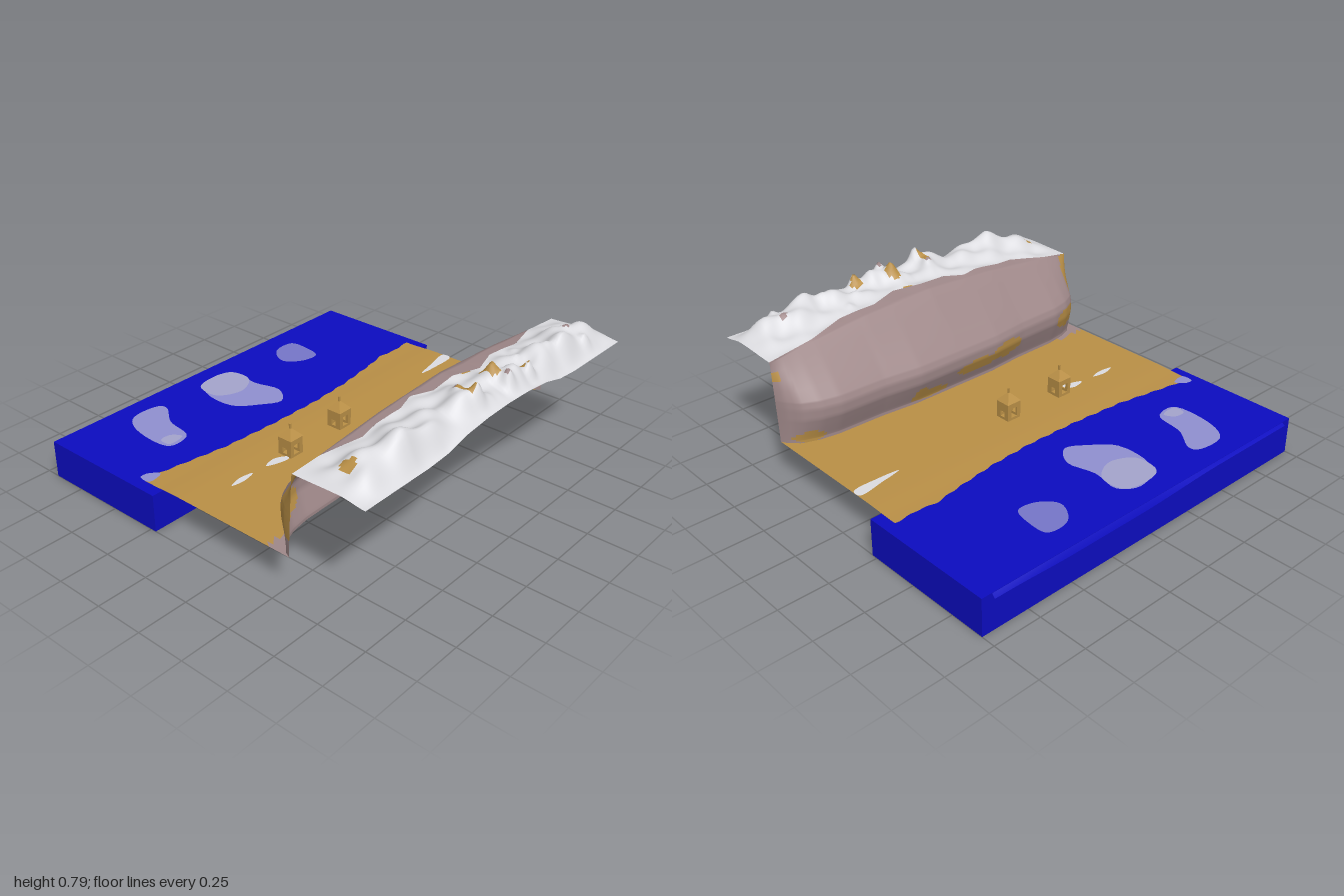
import * as THREE from 'three';

const flat = (name, color) => {
  const m = new THREE.MeshStandardMaterial({ color, side: THREE.DoubleSide });
  m.name = name;
  return m;
};

// piecewise-linear lookup in a list of [key, value]
function lookup(table, k) {
  if (k <= table[0][0]) return table[0][1];
  for (let i = 1; i < table.length; i++) {
    const [a, va] = table[i - 1], [b, vb] = table[i];
    if (k <= b) return va + (vb - va) * (k - a) / (b - a);
  }
  return table[table.length - 1][1];
}
const lerp = THREE.MathUtils.lerp;
const smooth = THREE.MathUtils.smoothstep;
const HALF = 0.945;

// curved sheet from a rule; each cell takes the material chosen by pick(x, y, z)
function sheet(name, nu, nv, rule, mats, pick = () => 0) {
  const pos = [], cells = mats.map(() => []);
  for (let j = 0; j <= nv; j++)
    for (let i = 0; i <= nu; i++) pos.push(...rule(lerp(-HALF, HALF, i / nu), j / nv));
  for (let j = 0; j < nv; j++)
    for (let i = 0; i < nu; i++) {
      const a = j * (nu + 1) + i, b = a + nu + 1;
      const mid = [0, 1, 2].map(k => (pos[a * 3 + k] + pos[(b + 1) * 3 + k]) / 2);
      cells[pick(...mid)].push(a, b, a + 1, b, b + 1, a + 1);
    }
  const geo = new THREE.BufferGeometry();
  geo.setAttribute('position', new THREE.Float32BufferAttribute(pos, 3));
  geo.setIndex(cells.flat());
  let start = 0;
  cells.forEach((c, k) => { geo.addGroup(start, c.length, k); start += c.length; });
  geo.computeVertexNormals();
  const mesh = new THREE.Mesh(geo, mats);
  mesh.name = name;
  return mesh;
}

// flat blob lying on a surface, outlined by [x, z] points
function patch(name, points, y, mat) {
  const curve = new THREE.CatmullRomCurve3(points.map(([x, z]) => new THREE.Vector3(x, -z, 0)), true);
  const shape = new THREE.Shape(curve.getPoints(36).map(p => new THREE.Vector2(p.x, p.y)));
  const mesh = new THREE.Mesh(new THREE.ShapeGeometry(shape).rotateX(-Math.PI / 2), mat);
  mesh.position.y = y;
  mesh.name = name;
  return mesh;
}

// ellipse test for coloured spots: [centre a, centre b, radius a, radius b]
const inSpots = (spots, a, b) => spots.some(([p, q, r, s]) => ((a - p) / r) ** 2 + ((b - q) / s) ** 2 < 1);

// plan and height rules shared by the terrain sheets
const SHORE = [[-0.945, -0.35], [-0.85, -0.335], [-0.5, -0.275], [-0.2, -0.255], [0.1, -0.25], [0.35, -0.265],
  [0.6, -0.3], [0.73, -0.325], [0.8, -0.31], [0.945, -0.32]];
const BEND = [[0, 0], [0.25, 0], [0.45, 0.12], [0.7, 0.16], [0.8, 0.27], [0.88, 0.47], [0.93, 0.8], [0.945, 1]];
const CREST = [[0, 0.69], [0.4, 0.67], [0.7, 0.64], [0.945, 0.61]];
const SNOWLINE = [[-0.945, 0.575], [-0.8, 0.585], [-0.6, 0.645], [-0.5, 0.63], [-0.35, 0.64], [-0.25, 0.61], [-0.15, 0.66],
  [0, 0.65], [0.15, 0.69], [0.3, 0.64], [0.5, 0.65], [0.7, 0.59], [0.945, 0.575]];
const RIDGE = [[-0.945, 0.615], [-0.85, 0.67], [-0.75, 0.7], [-0.6, 0.74], [-0.45, 0.72], [-0.3, 0.7], [-0.2, 0.73],
  [-0.13, 0.75], [-0.03, 0.69], [0.03, 0.7], [0.08, 0.75], [0.17, 0.73], [0.22, 0.69], [0.35, 0.705],
  [0.43, 0.72], [0.5, 0.71], [0.56, 0.74], [0.65, 0.72], [0.77, 0.7], [0.85, 0.68], [0.945, 0.62]];
const RIM = [[0, 0.66], [0.15, 0.655], [0.3, 0.64], [0.42, 0.61], [0.55, 0.6], [0.945, 0.6]];
// cliff profile: [middle z, end z, height]
const PROFILE = [[0.4, 0.55, 0.2], [0.4, 0.55, 0.217], [0.37, 0.553, 0.28], [0.347, 0.556, 0.33],
  [0.343, 0.559, 0.385], [0.36, 0.561, 0.425], [0.58, 0.573, 0.68]];
// spires: [x, z, height]
const SPIRES = [[-0.13, 0.87, 0.05], [-0.15, 0.78, 0.03], [0.07, 0.8, 0.04], [0.09, 0.88, 0.05], [0.25, 0.88, 0.06],
  [0.32, 0.77, 0.02], [0.49, 0.82, 0.02], [0.73, 0.78, 0.02], [0.73, 0.88, 0.035], [0.4, 0.7, 0.02]];

const baseZ = x => lerp(0.4, 0.55, lookup(BEND, Math.abs(x)));

function snowHeight(x, z, v) {
  const crest = lookup(CREST, Math.abs(x)), ridge = lookup(RIDGE, x), rim = lookup(RIM, Math.abs(x));
  let y = v < 0.65 ? lerp(crest, ridge, smooth(v, 0, 0.65)) : lerp(ridge, rim, smooth(v, 0.65, 1.02));
  const fade = Math.sin(Math.PI * v) * smooth(HALF - Math.abs(x), 0, 0.15);
  y += 0.012 * fade * (Math.sin(x * 31 + z * 17) + Math.sin(x * 17 - z * 39));
  for (const [sx, sz, h] of SPIRES) y += h * Math.exp(-((x - sx) ** 2 + (z - sz) ** 2) / 0.0007);
  return Math.min(y, 0.785);
}

// small open-sided hut with pyramid roof
function hut(x, mat) {
  const g = new THREE.Group();
  g.name = 'hut';
  for (let i = 0; i < 4; i++) {
    const w = 0.04, o = i % 2 ? 0.013 : 0.019, top = i % 2 ? 0.042 : 0.062;
    const wall = new THREE.Shape([[-w, 0], [w, 0], [w, 0.09], [-w, 0.09]].map(p => new THREE.Vector2(...p)));
    wall.holes.push(new THREE.Path([[-o, 0.013], [-o, top], [o, top], [o, 0.013]].map(p => new THREE.Vector2(...p))));
    const geo = new THREE.ExtrudeGeometry(wall, { depth: 0.008, bevelEnabled: false }).translate(0, 0, 0.032);
    const mesh = new THREE.Mesh(geo.rotateY(i * Math.PI / 2), mat);
    mesh.name = 'hutWall';
    g.add(mesh);
  }
  const roof = new THREE.Mesh(new THREE.ConeGeometry(0.06, 0.045, 4, 1).rotateY(Math.PI / 4).toNonIndexed(), mat);
  roof.geometry.computeVertexNormals();
  roof.position.y = 0.1125;
  roof.name = 'hutRoof';
  const finial = new THREE.Mesh(new THREE.BoxGeometry(0.009, 0.035, 0.009), mat);
  finial.position.y = 0.138;
  finial.name = 'hutFinial';
  g.add(roof, finial);
  g.position.set(x, 0.2, 0);
  return g;
}

export function createModel() {
  const sea = flat('sea blue', 0x0c0cc0), sand = flat('sand', 0xb98f46), rock = flat('rock', 0x9f8889);
  const snow = flat('snow', 0xdcdce0), shoal = flat('shoal', 0x9090d0);
  const paleShoal = flat('pale shoal', 0xa4a4cc), deepShoal = flat('deep shoal', 0x7676c8);
  const model = new THREE.Group();
  model.name = 'coast';

  // sea block and the sea-floor edge behind it
  const block = new THREE.Mesh(new THREE.BoxGeometry(2, 0.19, 0.71), sea);
  block.position.set(0, 0.095, -0.575);
  block.name = 'sea';
  model.add(block, sheet('seaFloorEdge', 40, 2, (x, v) => {
    const drop = 0.02 + 0.03 * smooth(x, -0.45, 0.1) * (1 - 0.6 * smooth(x, 0.5, 0.9));
    return v < 0.6 ? [x, 0.188 - (v ? 0 : 0.003), v ? -0.93 : -0.945, ].map((c, k) => (k === 1 && !v ? 0.188 - drop * 0.6 : c)) : [x, 0.186, -0.925];
  }, [sea]));

  // shoals on the water
  model.add(
    patch('leftShoal', [[-0.6, -0.82], [-0.44, -0.81], [-0.43, -0.77], [-0.51, -0.65], [-0.55, -0.49], [-0.67, -0.48],
      [-0.67, -0.72]], 0.193, shoal),
    patch('middleShoal', [[-0.1, -0.82], [0, -0.83], [0.07, -0.77], [0.05, -0.63], [0.08, -0.48], [0, -0.385],
      [-0.1, -0.44], [-0.2, -0.54], [-0.19, -0.74]], 0.193, shoal),
    patch('middleShoalTop', [[-0.06, -0.83], [0.05, -0.8], [0.06, -0.68], [-0.06, -0.61], [-0.18, -0.67], [-0.17, -0.8]], 0.196, paleShoal),
    patch('leftShoalTop', [[-0.66, -0.55], [-0.6, -0.55], [-0.57, -0.5], [-0.66, -0.49]], 0.196, paleShoal),
    patch('rightShoal', [[0.4, -0.8], [0.52, -0.8], [0.53, -0.7], [0.5, -0.6], [0.4, -0.61], [0.33, -0.69]], 0.193, deepShoal),
    patch('shoreShoal', [[-0.94, -0.37], [-0.9, -0.37], [-0.86, -0.325], [-0.94, -0.31]], 0.197, shoal));

  // beach
  model.add(sheet('beach', 84, 24, (x, v) => {
    const z = lerp(lookup(SHORE, x) + 0.004 * Math.sin(x * 60), baseZ(x), v);
    return [x, 0.2 - 0.006 * (1 - smooth(z, -0.3, -0.12)), z];
  }, [sand, rock], (x, y, z) => (x < -0.75 && z > 0.42 ? 1 : 0)));
  model.add(
    patch('paleStreak', [[-0.73, 0], [-0.66, -0.02], [-0.59, -0.005], [-0.66, 0.012]], 0.203, snow),
    patch('paleStreak', [[-0.51, 0], [-0.44, -0.018], [-0.38, 0.02], [-0.4, 0.035]], 0.203, snow),
    patch('paleStreak', [[0.69, -0.02], [0.8, -0.045], [0.94, -0.065], [0.94, -0.02], [0.8, -0.01]], 0.203, snow));

  // cliff, bulging over the beach and curving back at both ends
  const rockSpots = [[-0.33, 0.32, 0.11, 0.05], [-0.13, 0.3, 0.14, 0.04], [0.17, 0.235, 0.12, 0.025], [0.23, 0.265, 0.035, 0.03],
    [-0.82, 0.33, 0.1, 0.06], [-0.93, 0.45, 0.05, 0.17], [0.84, 0.23, 0.07, 0.03], [0.94, 0.53, 0.02, 0.03]];
  model.add(sheet('cliff', 126, 28, (x, v) => {
    const bend = lookup(BEND, Math.abs(x)), crest = lookup(CREST, Math.abs(x));
    const s = Math.min(v * 28 / 4, 6.999), i = Math.floor(s), f = s - i;
    const rows = [...PROFILE, [lookup(SNOWLINE, x), lookup(SNOWLINE, x), crest]];
    const at = r => [lerp(r[0], r[1], bend), r === rows[6] ? crest - 0.008 : r[2]];
    const [za, ya] = at(rows[i]), [zb, yb] = at(rows[i + 1]);
    return [x, lerp(ya, yb, f), lerp(za, zb, f)];
  }, [rock, sand], (x, y) => (inSpots(rockSpots, x, y) ? 1 : 0)));

  // snowy ridge
  const bareSpots = [[-0.83, 0.76, 0.03, 0.035], [0.07, 0.65, 0.035, 0.03], [0.07, 0.79, 0.03, 0.05], [0.25, 0.85, 0.03, 0.03],
    [-0.15, 0.82, 0.015, 0.05]];
  const rockyTips = [[-0.155, 0.78, 0.015, 0.015], [0.73, 0.77, 0.02, 0.018], [0.09, 0.87, 0.016, 0.016]];
  model.add(sheet('snowRidge', 126, 26, (x, v) => {
    const z = lerp(lookup(SNOWLINE, x), HALF, v);
    return [x, snowHeight(x, z, v), z];
  }, [snow, sand, rock], (x, y, z) => (inSpots(bareSpots, x, z) ? 1 : inSpots(rockyTips, x, z) ? 2 : 0)));

  // huts on the beach
  model.add(hut(-0.345, sand), hut(0, sand));
  return model;
}
